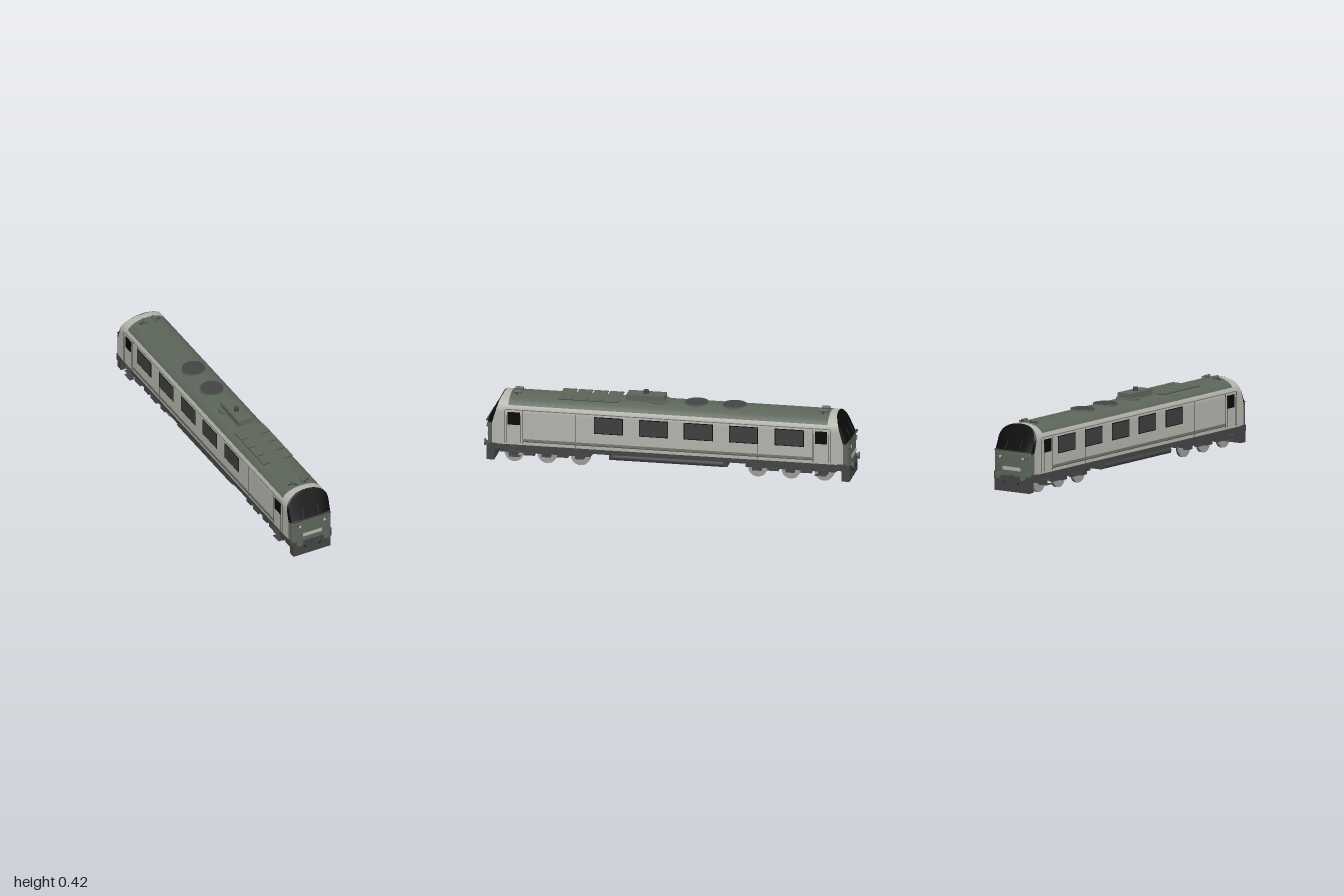
import * as THREE from 'three';

const mat = (name, color, extra = {}) => {
  const m = new THREE.MeshStandardMaterial({ color, ...extra });
  m.name = name;
  return m;
};
const D = { side: THREE.DoubleSide };
const M = {
  green: mat('roof green', 0x5c655a, D),
  pale: mat('pale grey', 0xb4b4ad, D),
  black: mat('windscreen black', 0x0a0a0a, D),
  dark: mat('underframe grey', 0x444444),
  glass: mat('window glass', 0x3e3e3f),
  wheel: mat('wheel steel', 0x9c9c9a),
  stripe: mat('stripe grey', 0x72776e),
};

const add = (parent, name, geo, material, x = 0, y = 0, z = 0) => {
  const mesh = new THREE.Mesh(geo, material);
  mesh.name = name;
  mesh.position.set(x, y, z);
  parent.add(mesh);
  return mesh;
};
// box given by its limits
const box = (p, name, m, x0, x1, y0, y1, z0, z1) =>
  add(p, name, new THREE.BoxGeometry(x1 - x0, y1 - y0, z1 - z0), m, (x0 + x1) / 2, (y0 + y1) / 2, (z0 + z1) / 2);
const cyl = (p, name, m, r, h, x, y, z, axis = 'y', n = 24) => {
  const g = new THREE.CylinderGeometry(r, r, h, n);
  if (axis === 'x') g.rotateZ(Math.PI / 2);
  if (axis === 'z') g.rotateX(Math.PI / 2);
  return add(p, name, g, m, x, y, z);
};

// smooth surface over a grid, fn(i, j) -> [x, y, z]
function grid(nu, nv, fn) {
  const pos = [], idx = [];
  for (let j = 0; j <= nv; j++) for (let i = 0; i <= nu; i++) pos.push(...fn(i, j));
  for (let j = 0; j < nv; j++) for (let i = 0; i < nu; i++) {
    const a = j * (nu + 1) + i, b = a + nu + 1;
    idx.push(a, a + 1, b, a + 1, b + 1, b);
  }
  const g = new THREE.BufferGeometry();
  g.setAttribute('position', new THREE.Float32BufferAttribute(pos, 3));
  g.setIndex(idx);
  g.computeVertexNormals();
  return g;
}

// body cross-section: straight sides below a superellipse roof
const W = 0.125, SHOULDER = 0.28, RISE = 0.09, N = 2.3, CUT = 0.467, SILL = 0.225;
const halfWidth = y => W * Math.pow(Math.max(0, 1 - Math.pow(Math.max(0, y - SHOULDER) / RISE, N)), 1 / N);
const arc = (a0, a1, n) => Array.from({ length: n + 1 }, (_, i) => {
  const a = a0 + (a1 - a0) * i / n, c = Math.cos(a);
  return [Math.sign(c) * W * Math.pow(Math.abs(c), 2 / N), SHOULDER + RISE * Math.pow(Math.max(0, Math.sin(a)), 2 / N)];
});
const mirrorX = pts => pts.map(([x, y]) => [-x, y]).reverse();
const roofArc = arc(CUT, Math.PI - CUT, 32);
const sideLine = [[W, 0.1], [W, SILL], ...arc(0, CUT, 8)];
const lowLine = [[W, 0.1], [W, SILL]];
const overLine = [[W, SILL], ...arc(0, Math.PI, 48), [-W, SILL]];

// nose plane: upright below the sill, raked above it
const rake = y => Math.max(0, y - SILL) / 0.14;
const noseZ = y => 0.985 - 0.075 * rake(y);
const rim = y => noseZ(y) - 0.012 * Math.max(0.2, 1 - rake(y));
const wrap = y => rim(y) - 0.022 * Math.max(0.1, 1 - rake(y));
const NARROW = 0.93;
const skin = (pts, zA, zB, sA = 1, sB = 1) => grid(pts.length - 1, 1, (i, j) => {
  const [x, y] = pts[i];
  return j ? [x * sB, y, zB(y)] : [x * sA, y, zA(y)];
});
const face = yAt => grid(20, 14, (i, j) => {
  const u = i / 10 - 1, y = yAt(j / 14);
  return [u * NARROW * halfWidth(y), y, noseZ(y) + (rim(y) - noseZ(y)) * u ** 4];
});

function makeEnd() {
  const g = new THREE.Group();
  g.name = 'cabEnd';
  const at = z => () => z;
  // nose and windscreen
  add(g, 'noseFace', face(t => 0.1 + 0.132 * t), M.green);
  add(g, 'windscreen', face(t => 0.232 + 0.138 * Math.sin(t * Math.PI / 2)), M.black);
  for (const pts of [lowLine, mirrorX(lowLine)]) add(g, 'noseSide', skin(pts, rim, wrap, NARROW, 1), M.green);
  add(g, 'windscreenSurround', skin(overLine, rim, wrap, NARROW, 1), M.black);
  // pale cab band
  add(g, 'cabBand', skin([[W, 0.1], ...overLine, [-W, 0.1]], wrap, at(0.865)), M.pale);
  box(g, 'noseSill', M.dark, -0.112, 0.112, 0.229, 0.235, 0.975, 0.986);
  box(g, 'numberPanel', M.pale, -0.057, 0.057, 0.129, 0.148, 0.982, 0.988);
  // buffer beam, plough and coupling
  box(g, 'bufferBeam', M.dark, -0.126, 0.126, 0.075, 0.112, 0.92, 0.97);
  box(g, 'bufferBeamFront', M.dark, -0.118, 0.118, 0.075, 0.1, 0.96, 0.982);
  box(g, 'plough', M.dark, -0.112, 0.112, 0.013, 0.075, 0.942, 0.984);
  box(g, 'couplingHook', M.dark, -0.006, 0.006, 0.084, 0.106, 0.98, 0.997);
  for (const s of [-1, 1]) {
    cyl(g, 'bufferHead', M.green, 0.019, 0.006, s * 0.081, 0.1, 0.997, 'z');
    cyl(g, 'bufferStem', M.dark, 0.009, 0.02, s * 0.081, 0.1, 0.985, 'z');
    cyl(g, 'headlamp', M.dark, 0.0105, 0.006, s * 0.074, 0.199, 0.983, 'z');
    cyl(g, 'headlampLens', M.pale, 0.0085, 0.008, s * 0.074, 0.199, 0.984, 'z');
    cyl(g, 'markerLamp', M.dark, 0.0075, 0.008, s * 0.096, 0.199, 0.979, 'z');
    cyl(g, 'markerLens', M.stripe, 0.0055, 0.01, s * 0.096, 0.199, 0.98, 'z');
    const hose = new THREE.CatmullRomCurve3([[0.047, 0.077, 0.98], [0.046, 0.064, 0.99], [0.04, 0.056, 0.987]]
      .map(([x, y, z]) => new THREE.Vector3(s * x, y, z)));
    add(g, 'brakeHose', new THREE.TubeGeometry(hose, 8, 0.003, 6), M.black);
    // wiper lying on the raked screen
    const wiper = box(g, 'wiper', M.glass, -0.001, 0.001, -0.028, 0.028, -0.001, 0.001);
    wiper.position.set(s * 0.045, 0.265, noseZ(0.265) + 0.002);
    wiper.rotation.set(-0.49, 0, -0.12);
    // horns on the roof
    cyl(g, 'horn', M.green, 0.01, 0.04, s * 0.028, 0.375, 0.83, 'z', 16);
    cyl(g, 'hornMouth', M.dark, 0.008, 0.002, s * 0.028, 0.375, 0.851, 'z', 16);
    box(g, 'hornFoot', M.dark, s * 0.028 - 0.005, s * 0.028 + 0.005, 0.36, 0.372, 0.815, 0.845);
    box(g, 'hornBracket', M.dark, s * 0.05 - 0.012, s * 0.05 + 0.012, 0.366, 0.372, 0.826, 0.834);
    // cab door window, door seams, handrails and steps
    const x = s * W;
    box(g, 'cabWindow', M.black, x - 0.002, x + 0.002, 0.22, 0.29, 0.8, 0.866);
    for (const z of [0.785, 0.885]) {
      box(g, 'doorSeam', M.dark, x - 0.001, x + 0.001, 0.115, 0.3, z - 0.0015, z + 0.0015);
    }
    for (const z of [0.795, 0.872]) {
      cyl(g, 'handrail', M.dark, 0.0013, 0.152, s * 0.131, 0.198, z, 'y', 6);
      for (const y of [0.123, 0.273]) box(g, 'railFoot', M.dark, s * 0.128 - 0.004, s * 0.128 + 0.004, y - 0.001, y + 0.001, z - 0.001, z + 0.001);
    }
    for (const y of [0.045, 0.073, 0.1]) box(g, 'step', M.dark, s * 0.122 - 0.014, s * 0.122 + 0.014, y - 0.0015, y + 0.0015, 0.8, 0.86);
    box(g, 'stepHanger', M.dark, s * 0.112 - 0.002, s * 0.112 + 0.002, 0.045, 0.1, 0.815, 0.845);
  }
  return g;
}

// three-axle bogie
function makeBogie() {
  const g = new THREE.Group();
  g.name = 'bogie';
  for (const z of [0.48, 0.66, 0.84]) {
    cyl(g, 'axle', M.dark, 0.01, 0.15, 0, 0.053, z, 'x', 12);
    for (const s of [-1, 1]) {
      cyl(g, 'wheel', M.wheel, 0.052, 0.012, s * 0.072, 0.052, z, 'x', 32);
      cyl(g, 'wheelFlange', M.dark, 0.0525, 0.008, s * 0.063, 0.0525, z, 'x', 32);
      box(g, 'axleBox', M.dark, s * 0.098 - 0.014, s * 0.098 + 0.014, 0.044, 0.075, z - 0.024, z + 0.024);
    }
  }
  for (const s of [-1, 1]) {
    box(g, 'sideFrame', M.dark, s * 0.097 - 0.012, s * 0.097 + 0.012, 0.06, 0.088, 0.42, 0.91);
    for (const z of [0.57, 0.75]) box(g, 'springSeat', M.dark, s * 0.106 - 0.012, s * 0.106 + 0.012, 0.05, 0.064, z - 0.03, z + 0.03);
  }
  for (const z of [0.43, 0.57, 0.75, 0.9]) box(g, 'crossBeam', M.dark, -0.09, 0.09, 0.06, 0.084, z - 0.012, z + 0.012);
  return g;
}

export function createModel() {
  const model = new THREE.Group();
  model.name = 'dieselLocomotive';
  const zF = () => 0.865, zB = () => -0.865;

  // body shell
  add(model, 'roof', skin(roofArc, zF, zB), M.green);
  for (const pts of [sideLine, mirrorX(sideLine)]) add(model, 'bodySide', skin(pts, zF, zB), M.pale);
  box(model, 'underframe', M.dark, -0.126, 0.126, 0.084, 0.109, -0.965, 0.965);

  // ends and bogies
  for (const turn of [0, Math.PI]) {
    for (const part of [makeEnd(), makeBogie()]) {
      part.rotation.y = turn;
      model.add(part);
    }
  }

  // side details
  for (const s of [-1, 1]) {
    const x = s * W;
    const plate = (name, m, t, y0, y1, z0, z1) => box(model, name, m, x - t, x + t, y0, y1, z0, z1);
    for (const z of [0.32, 0.075, -0.167, -0.412, -0.66]) {
      plate('windowFrame', M.black, 0.0015, 0.198, 0.291, z - 0.079, z + 0.079);
      plate('sideWindow', M.glass, 0.0025, 0.202, 0.287, z - 0.075, z + 0.075);
    }
    plate('sideStripe', M.stripe, 0.002, 0.128, 0.143, -0.785, 0.785);
    plate('stripeEdge', M.dark, 0.0025, 0.127, 0.13, -0.785, 0.785);
    for (const z of [0.5, -0.49]) plate('panelSeam', M.dark, 0.001, 0.11, 0.3, z - 0.0015, z + 0.0015);
    const gx = s * halfWidth(0.303);
    box(model, 'cantRail', M.stripe, gx - 0.002, gx + 0.002, 0.301, 0.305, -0.88, 0.88);
  }

  // fuel tank
  box(model, 'fuelTank', M.dark, -0.105, 0.105, 0.05, 0.086, -0.32, 0.32);
  for (const s of [-1, 1]) cyl(model, 'airTank', M.dark, 0.016, 0.6, s * 0.105, 0.068, 0, 'z', 16);

  // roof equipment
  for (const z of [-0.34, -0.135]) {
    cyl(model, 'fanRim', M.green, 0.065, 0.012, 0, 0.367, z, 'y', 40);
    cyl(model, 'fanGrille', M.dark, 0.062, 0.014, 0, 0.367, z, 'y', 40);
  }
  cyl(model, 'roofHatch', M.green, 0.063, 0.012, 0, 0.367, 0.07, 'y', 40);
  box(model, 'silencer', M.green, -0.041, 0.041, 0.36, 0.4, 0.035, 0.24);
  cyl(model, 'exhaust', M.dark, 0.014, 0.025, 0, 0.407, 0.14, 'y', 20);
  for (let i = 0; i < 4; i++) {
    const z = 0.277 + i * 0.084;
    box(model, 'roofPanel', M.green, -0.088, 0.088, 0.366, 0.371, z, z + 0.074);
    box(model, 'roofPanelEdge', M.dark, -0.089, 0.089, 0.365, 0.368, z - 0.001, z + 0.075);
  }
  return model;
}
